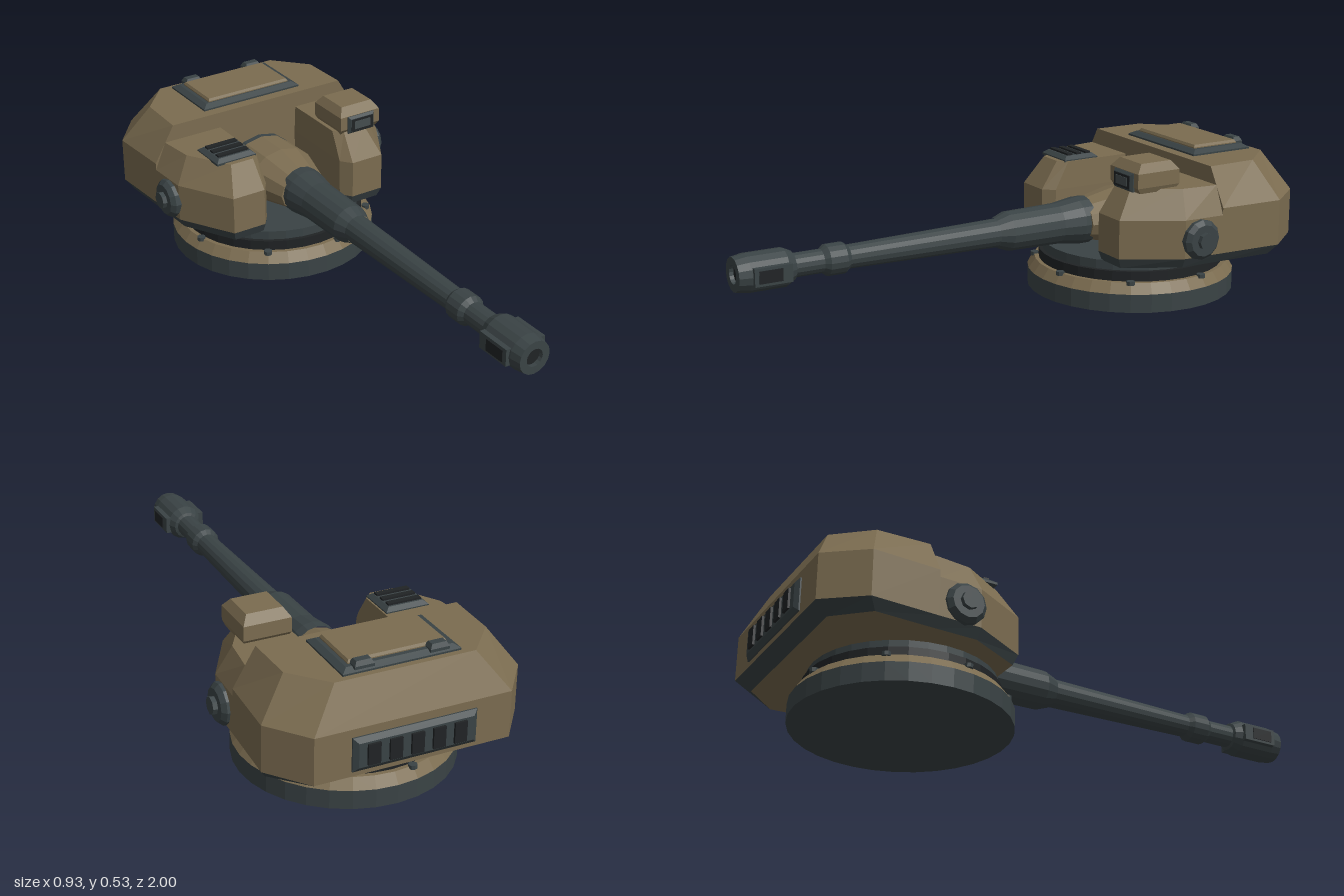
import * as THREE from 'three';

const mat = (name, color) => Object.assign(new THREE.MeshStandardMaterial({ color }), { name });

export function createModel() {
  const model = new THREE.Group();
  model.name = 'gunTurret';
  const tan = mat('sandArmour', 0x7b6c50);
  const steel = mat('gunmetal', 0x3a4345);
  const black = mat('blackMetal', 0x202325);
  const glass = mat('sightGlass', 0x454d4e);

  // faceted mesh
  const add = (name, geo, material, parent = model) => {
    const g = geo.index ? geo.toNonIndexed() : geo;
    g.computeVertexNormals();
    const mesh = new THREE.Mesh(g, material);
    mesh.name = name;
    parent.add(mesh);
    return mesh;
  };

  // stacked rings of [x, z] corners at heights y, closed with flat caps
  const loft = (layers, sides = true, caps = true) => {
    const pos = [];
    const tri = (...pts) => pts.forEach((p) => pos.push(...p));
    const rings = layers.map(([y, ring]) => ring.map(([x, z]) => [x, y, z]));
    const n = rings[0].length;
    if (sides) {
      for (let k = 0; k + 1 < rings.length; k++) {
        for (let i = 0; i < n; i++) {
          const j = (i + 1) % n, lo = rings[k], hi = rings[k + 1];
          tri(lo[i], lo[j], hi[j]);
          tri(lo[i], hi[j], hi[i]);
        }
      }
    }
    if (caps) {
      const lo = rings[0], hi = rings[rings.length - 1];
      for (let i = 1; i + 1 < n; i++) {
        tri(hi[0], hi[i], hi[i + 1]);
        tri(lo[0], lo[i + 1], lo[i]);
      }
    }
    const g = new THREE.BufferGeometry();
    g.setAttribute('position', new THREE.Float32BufferAttribute(pos, 3));
    return g;
  };

  // armour block: dark lower band, sand everywhere else
  const armour = (name, layers) => {
    add(name + 'LowerBand', loft(layers.slice(0, 2), true, false), steel);
    add(name + 'Sides', loft(layers.slice(1), true, false), tan);
    add(name + 'Caps', loft(layers, false, true), tan);
  };

  const rect = (w, d) => [[-w / 2, d / 2], [w / 2, d / 2], [w / 2, -d / 2], [-w / 2, -d / 2]];
  // plate with a sloped rim, lying on y = 0
  const plate = (w, d, h, inset) => loft([
    [0, rect(w, d)], [h * 0.4, rect(w, d)], [h, rect(w - 2 * inset, d - 2 * inset)],
  ]);
  const box = (name, size, at, material, parent) => {
    const m = add(name, new THREE.BoxGeometry(...size), material, parent);
    m.position.set(...at);
    return m;
  };
  const lathe = (pts, seg) => new THREE.LatheGeometry(pts.map(([r, y]) => new THREE.Vector2(r, y)), seg);

  // ---- base ring ----
  const base = new THREE.Group();
  base.name = 'base';
  base.position.z = -0.52;
  model.add(base);
  add('baseDrum', lathe([[0, 0], [0.37, 0], [0.37, 0.065]], 32), steel, base);
  add('baseSlope', lathe([[0.37, 0.065], [0.345, 0.1], [0.32, 0.1]], 32), tan, base);
  add('bearingRing', lathe([[0.33, 0.1], [0.33, 0.135], [0.31, 0.135]], 32), black, base);
  add('turretFloor', lathe([[0.316, 0.135], [0.316, 0.167], [0, 0.167]], 32), steel, base);
  for (let i = 0; i < 8; i++) {
    const a = THREE.MathUtils.degToRad(11 + i * 45);
    const bolt = add('baseBolt', new THREE.CylinderGeometry(0.015, 0.015, 0.014, 8), steel, base);
    bolt.position.set(0.345 * Math.sin(a), 0.1, 0.345 * Math.cos(a));
  }

  // ---- rear hull ----
  const mirrored = (half) => [
    ...half.map(([x, z]) => [-x, z]).reverse().slice(-1), ...half,
    ...half.slice(1).reverse().map(([x, z]) => [-x, z]),
  ];
  const hullMid = mirrored([[0.427, -0.605], [0.44, -0.84], [0.333, -0.975]]);
  armour('hull', [
    [0.165, mirrored([[0.405, -0.605], [0.415, -0.815], [0.31, -0.925]])],
    [0.2, hullMid],
    [0.36, hullMid],
    [0.49, mirrored([[0.35, -0.605], [0.345, -0.79], [0.238, -0.91]])],
  ]);

  // ---- front pods and side discs ----
  const podMid = [[0.185, -0.26], [0.31, -0.26], [0.42, -0.455], [0.427, -0.605], [0.155, -0.605], [0.155, -0.3]];
  const podLow = [[0.185, -0.275], [0.3, -0.275], [0.4, -0.46], [0.405, -0.605], [0.155, -0.605], [0.155, -0.31]];
  const podTop = [[0.19, -0.325], [0.278, -0.325], [0.37, -0.475], [0.385, -0.605], [0.16, -0.605], [0.16, -0.355]];
  for (const s of [1, -1]) {
    const side = s > 0 ? 'left' : 'right';
    const flip = (ring) => (s > 0 ? ring : ring.map(([x, z]) => [-x, z]).reverse());
    armour(side + 'Pod', [[0.165, flip(podLow)], [0.2, flip(podMid)], [0.335, flip(podMid)], [0.432, flip(podTop)]]);

    const disc = new THREE.Group();
    disc.name = side + 'Disc';
    disc.position.set(s * 0.41, 0.263, -0.515);
    disc.rotation.z = -s * Math.PI / 2;
    model.add(disc);
    add('discPlate', lathe([[0.07, 0], [0.07, 0.025], [0.055, 0.04], [0, 0.04]], 12), steel, disc);
    add('discHub', lathe([[0.03, 0.038], [0.03, 0.056], [0, 0.056]], 8), steel, disc);
  }

  // ---- roof hatch ----
  add('hatchFrame', plate(0.4, 0.245, 0.02, 0.02), steel).position.set(0, 0.488, -0.767);
  add('hatchLid', plate(0.335, 0.185, 0.014, 0.005), tan).position.set(0, 0.506, -0.762);
  for (const s of [1, -1]) {
    add('hatchHinge', plate(0.065, 0.04, 0.024, 0.008), steel).position.set(s * 0.127, 0.502, -0.868);
  }

  // ---- grille on the right pod ----
  add('podGrille', plate(0.155, 0.14, 0.02, 0.015), steel).position.set(-0.243, 0.428, -0.415);
  for (let i = -1; i <= 1; i++) box('podGrilleSlat', [0.12, 0.009, 0.02], [-0.243, 0.45, -0.415 + i * 0.038], black);

  // ---- sight on the left pod ----
  add('sightHousing', loft([
    [-0.05, rect(0.15, 0.14)], [-0.03, rect(0.165, 0.17)], [0.02, rect(0.165, 0.17)], [0.05, rect(0.125, 0.12)],
  ]), tan).position.set(0.253, 0.473, -0.4);
  const sight = new THREE.Group();
  sight.name = 'sightWindow';
  sight.position.set(0.255, 0.459, -0.318);
  sight.rotation.x = Math.PI / 2;
  model.add(sight);
  add('sightFrame', plate(0.11, 0.065, 0.014, 0.008), steel, sight);
  box('sightRecess', [0.09, 0.004, 0.046], [0, 0.014, 0], black, sight);
  box('sightLens', [0.066, 0.004, 0.03], [0, 0.016, 0], glass, sight);

  // ---- rear vent ----
  const vent = new THREE.Group();
  vent.name = 'rearVent';
  vent.position.set(0, 0.275, -0.972);
  vent.rotation.x = -Math.PI / 2;
  model.add(vent);
  add('ventPlate', plate(0.42, 0.115, 0.02, 0.016), steel, vent);
  for (let i = -2; i <= 2; i++) box('ventSlot', [0.042, 0.01, 0.07], [i * 0.073, 0.023, 0], black, vent);

  // ---- gun, built along its own axis ----
  const gun = new THREE.Group();
  gun.name = 'gun';
  gun.position.y = 0.262;
  model.add(gun);
  const turned = (name, pts, seg, material) => add(name, lathe(pts, seg).rotateX(Math.PI / 2), material, gun);
  turned('mantletCollar', [[0.128, -0.605], [0.128, -0.585]], 12, steel).scale.y = 0.77;
  turned('mantlet', [[0.128, -0.585], [0.132, -0.45], [0.092, -0.3], [0, -0.3]], 12, tan).scale.y = 0.77;
  turned('barrelSleeve', [[0.084, -0.32], [0.084, -0.28], [0.072, -0.2], [0.069, 0], [0.052, 0.045]], 16, steel);
  turned('barrel', [[0.05, 0.03], [0.04, 0.61], [0.04, 0.82]], 16, steel);
  turned('barrelBand', [[0.038, 0.6], [0.053, 0.62], [0.053, 0.68], [0.038, 0.7]], 16, steel);
  turned('muzzle', [[0.038, 0.795], [0.05, 0.8], [0.065, 0.83], [0.065, 0.96], [0.058, 1], [0.031, 1], [0.031, 0.95]], 16, steel);
  const bore = add('bore', new THREE.CircleGeometry(0.032, 16), black, gun);
  bore.position.z = 0.985;
  for (const s of [1, -1]) {
    box('muzzleCheek', [0.03, 0.06, 0.13], [s * 0.06, 0, 0.89], steel, gun);
    box('muzzlePort', [0.006, 0.042, 0.08], [s * 0.075, 0, 0.9], black, gun);
  }
  return model;
}
